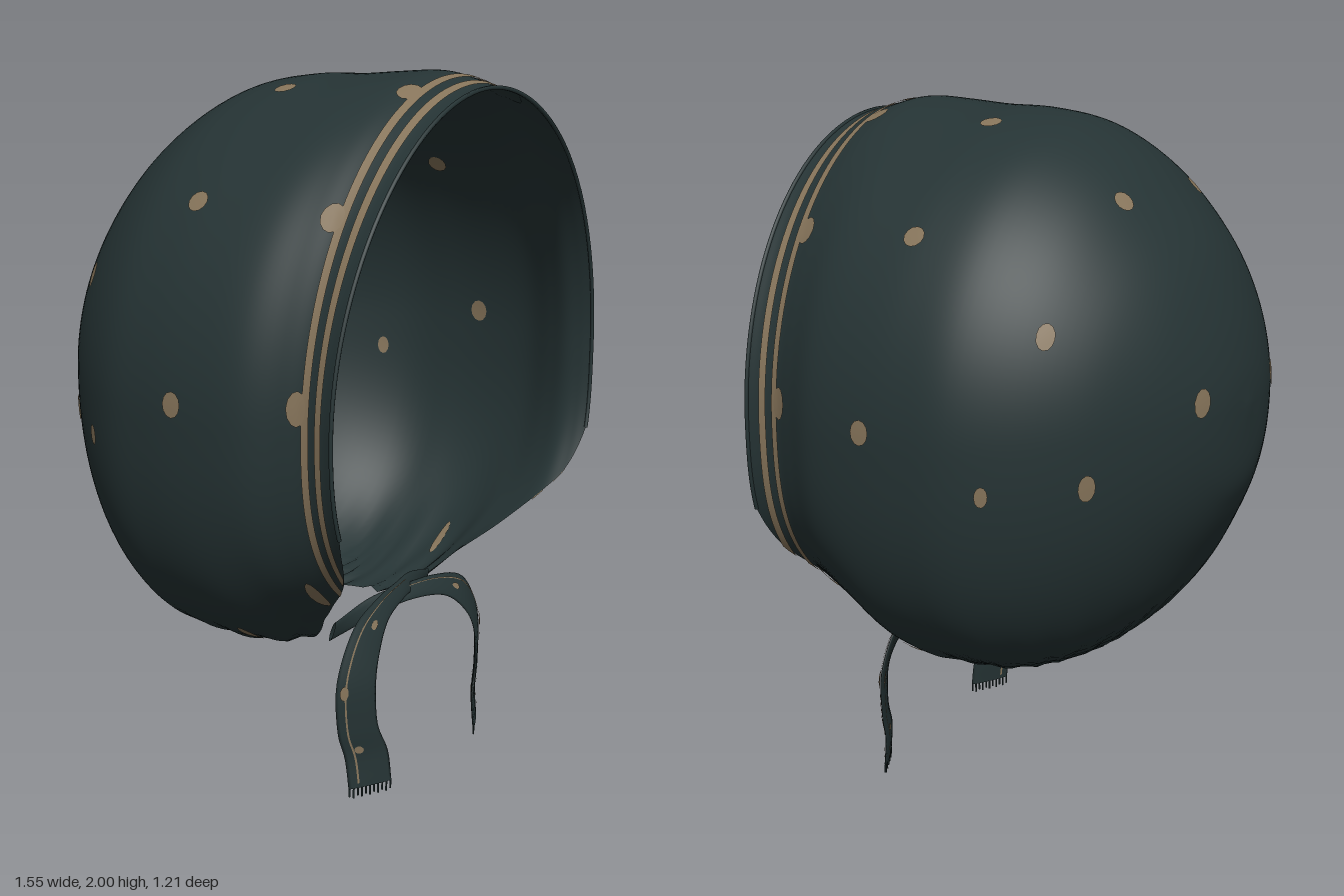
import * as THREE from 'three';
import { mergeVertices } from 'three/addons/utils/BufferGeometryUtils.js';

const V = (x, y, z) => new THREE.Vector3(x, y, z);

// Slices from back to front: z, top height, half width, bottom height, half width of the gap below
const slices = [
  [-0.605, 1.2, 0, 1.2, 0], [-0.59, 1.32, 0.14, 1.01, 0], [-0.55, 1.46, 0.27, 0.9, 0],
  [-0.48, 1.61, 0.41, 0.77, 0], [-0.38, 1.74, 0.55, 0.61, 0], [-0.25, 1.865, 0.665, 0.48, 0],
  [-0.1, 1.95, 0.745, 0.41, 0], [0.05, 1.98, 0.77, 0.4, 0.2], [0.2, 1.985, 0.772, 0.41, 0.22],
  [0.33, 1.995, 0.755, 0.5, 0.36], [0.43, 2.0, 0.71, 0.54, 0.47], [0.5, 1.985, 0.685, 0.56, 0.53],
  [0.56, 1.965, 0.69, 0.56, 0.6], [0.6, 1.96, 0.7, 0.56, 0.67],
];
const spline = (pts) => new THREE.CatmullRomCurve3(pts, false, 'catmullrom', 0.5);
const upper = spline(slices.map((s) => V(s[0], s[1], 0)));
const lower = spline(slices.map((s) => V(s[2], s[3], s[4])));

function slice(t) {
  const u = upper.getPoint(t), l = lower.getPoint(t);
  return { z: u.x, top: u.y, w: Math.max(l.x, 0), bottom: l.y, gap: Math.max(l.z, 0),
    mid: 1.2 - 0.05 * THREE.MathUtils.smoothstep(t, 0.1, 0.6) };
}

// Point of the smooth cap: t runs back to front, a is the angle from the top
function smoothCap(t, a) {
  const s = slice(t), c = Math.cos(a), n = c > 0 ? 1.95 : 2 + 0.6 * Math.min(1, t * 2);
  const r = 1 / Math.pow(Math.pow(Math.abs(Math.sin(a)), n) + Math.pow(Math.abs(c), n), 1 / n);
  const y = s.mid + r * c * (c > 0 ? s.top - s.mid : s.mid - s.bottom);
  const bow = 0.02 * Math.pow(Math.sin(a), 4) * THREE.MathUtils.smoothstep(t, 0.75, 1);
  return V(s.w * r * Math.sin(a), y, s.z - bow);
}

// Cap with gathers that fan out from the neck hole
function cap(t, a) {
  const p = smoothCap(t, a);
  const low = Math.max(0, (0.8 - p.y) / 0.4);
  const ripple = 0.012 * low * low * Math.sin(30 * Math.atan2(Math.abs(p.x), p.z - 0.05));
  p.y += ripple * 0.8;
  p.x *= 1 + ripple;
  return p;
}

function bisect(test, lo, hi) {
  for (let i = 0; i < 32; i++) {
    const m = (lo + hi) / 2;
    if (test(m)) lo = m; else hi = m;
  }
  return (lo + hi) / 2;
}
const tAtZ = (z) => bisect((t) => upper.getPoint(t).x < z, 0, 1);

// Angle at which a slice stops, leaving the neck hole and the face opening
function endAngle(t) {
  const gap = slice(t).gap;
  return gap < 0.002 ? Math.PI : bisect((a) => smoothCap(t, a).x > gap, Math.PI / 2, Math.PI);
}

// Cap point lifted off the cloth
function lifted(t, a, h) {
  const e = 0.002, p = cap(t, a);
  const n = cap(Math.min(t + e, 1), a).sub(cap(t - e, a))
    .cross(cap(t, a + e).sub(cap(t, a - e))).normalize();
  if (n.dot(V(p.x, p.y - 1.2, p.z)) < 0) n.negate();
  return p.addScaledVector(n, h);
}

// Surface from a grid of points f(u, v), u and v from 0 to 1
function grid(f, nu, nv) {
  const pos = [], idx = [];
  for (let i = 0; i <= nu; i++) for (let j = 0; j <= nv; j++) pos.push(...f(i / nu, j / nv).toArray());
  for (let i = 0; i < nu; i++) for (let j = 0; j < nv; j++) {
    const a = i * (nv + 1) + j, b = a + nv + 1;
    idx.push(a, a + 1, b, b, a + 1, b + 1);
  }
  const g = new THREE.BufferGeometry();
  g.setAttribute('position', new THREE.Float32BufferAttribute(pos, 3));
  g.setIndex(idx);
  const merged = mergeVertices(g, 1e-5);
  merged.computeVertexNormals();
  return merged;
}

// Oval spot lying on the cap near (x, y, z); rz runs front to back, ra around
function spot(x, y, z, rz, ra, h) {
  const t = tAtZ(z), s = slice(t), dy = y - s.mid, e = 0.002;
  const a = Math.atan2(x / s.w, dy / (dy > 0 ? s.top - s.mid : s.mid - s.bottom));
  const lt = cap(t + e, a).distanceTo(cap(t - e, a)) / (2 * e);
  const la = cap(t, a + e).distanceTo(cap(t, a - e)) / (2 * e);
  return grid((u, v) => {
    const k = v * Math.PI * 2;
    return lifted(t + (u * rz * Math.cos(k)) / lt, a + (u * ra * Math.sin(k)) / la, h);
  }, 2, 12);
}

export function createModel() {
  const model = new THREE.Group();
  model.name = 'bonnet';
  const mat = (name, color) => {
    const m = new THREE.MeshStandardMaterial({ color, side: THREE.DoubleSide });
    m.name = name;
    return m;
  };
  const cloth = mat('dark green cloth', 0x253334);
  const gold = mat('dull gold', 0x86745a);
  const add = (name, geo, material, parent = model) => {
    const m = new THREE.Mesh(geo, material);
    m.name = name;
    parent.add(m);
    return m;
  };

  // Cap shell
  add('cap', grid((u, v) => cap(u, (2 * v - 1) * endAngle(u)), 78, 160), cloth);

  // Rolled hem round the face opening
  const hem = [];
  for (let i = 0; i <= 60; i++) hem.push(cap(1, (i / 30 - 1) * endAngle(1)));
  add('hem', new THREE.TubeGeometry(new THREE.CatmullRomCurve3(hem), 90, 0.006, 6), cloth);

  // Two stripes behind the hem
  for (const z of [0.5, 0.548]) {
    const t0 = tAtZ(z - 0.012), t1 = tAtZ(z + 0.012);
    add('stripe', grid((u, v) => {
      const t = t0 + (t1 - t0) * u;
      return lifted(t, (2 * v - 1) * endAngle(t), 0.004);
    }, 2, 120), gold);
  }

  // Spots, mirrored, on both faces of the cloth: x, y, z, radius front to back, radius around
  const spots = [
    [0.22, 1.78, -0.32, 0.03, 0.03], [0.21, 1.95, 0.09, 0.03, 0.03], [0.6, 1.7, 0.09, 0.03, 0.03],
    [0.77, 1.2, 0.145, 0.028, 0.034], [0.59, 1.47, -0.29, 0.025, 0.036], [0.7, 1.06, -0.18, 0.018, 0.028],
    [0.53, 1.07, -0.39, 0.025, 0.036], [0.23, 1.25, -0.565, 0.03, 0.04],
    [0.2, 1.95, 0.475, 0.03, 0.04], [0.56, 1.69, 0.475, 0.03, 0.04], [0.69, 1.22, 0.475, 0.025, 0.045],
    [0.5, 0.5, 0.18, 0.014, 0.07], [0.56, 0.68, 0.435, 0.018, 0.07],
  ];
  for (const side of [1, -1]) for (const [x, y, z, rz, ra] of spots) {
    const faces = z > 0.4 ? [0.0045] : [0.004, -0.004];
    for (const h of faces) add('spot', spot(side * x, y, z, rz, ra, h), gold);
  }

  // Neck ties: centre line and half-width vectors, crossing under the chin
  const line = [V(0.24, 0.45, 0.27), V(0.1, 0.49, 0.31), V(-0.02, 0.505, 0.345), V(-0.16, 0.495, 0.375),
    V(-0.27, 0.445, 0.395), V(-0.335, 0.34, 0.405), V(-0.335, 0.21, 0.41), V(-0.305, 0.12, 0.42), V(-0.3, 0.03, 0.43)];
  const width = [V(0, 0.03, 0.01), V(0, 0.025, -0.01), V(0, 0.02, -0.015), V(-0.005, 0.027, -0.018),
    V(-0.035, 0.035, -0.022), V(-0.055, 0.012, -0.028), V(-0.055, 0, -0.03), V(-0.06, 0, -0.032), V(-0.06, 0, -0.032)];
  for (const side of [-1, 1]) {
    const tie = new THREE.Group();
    tie.name = side < 0 ? 'rightTie' : 'leftTie';
    model.add(tie);
    const drop = side < 0 ? 0.025 : 0;
    const path = spline(line.map((p) => V(-side * p.x, p.y + drop, p.z + (side < 0 ? 0.012 : 0))));
    const wide = spline(width.map((p) => V(-side * p.x, p.y, p.z)));
    const at = (u, k, h = 0) => {
      const w = wide.getPoint(u);
      const n = path.getTangent(u).cross(w).normalize();
      return path.getPoint(u).addScaledVector(w, k).addScaledVector(n, h);
    };
    add('ribbon', grid((u, v) => {
      const k = v * Math.PI * 2;
      return at(u, Math.cos(k), 0.006 * Math.sin(k));
    }, 48, 12), cloth, tie);
    // Fine gold line and small spots on both faces
    for (const h of [0.0075, -0.0075]) {
      add('tieLine', grid((u, v) => at(0.2 + 0.78 * u, 0.52 + 0.09 * v, h), 40, 1), gold, tie);
      for (const [u0, k0] of [[0.45, 0], [0.65, 0.65], [0.84, 0.3]])
        add('tieSpot', grid((r, v) => {
          const k = v * Math.PI * 2;
          return at(u0 + r * 0.018 * Math.cos(k), k0 + r * 0.22 * Math.sin(k), h * 1.1);
        }, 1, 10), gold, tie);
    }
    // Fringe threads at the end
    for (let i = 0; i < 11; i++) {
      const p = at(1, -0.95 + i * 0.19);
      const len = i % 2 ? 0.03 : 0.024;
      const thread = add('fringeThread', new THREE.BoxGeometry(0.004, len, 0.004), cloth, tie);
      thread.position.set(p.x, p.y - len / 2, p.z);
    }
  }
  return model;
}
